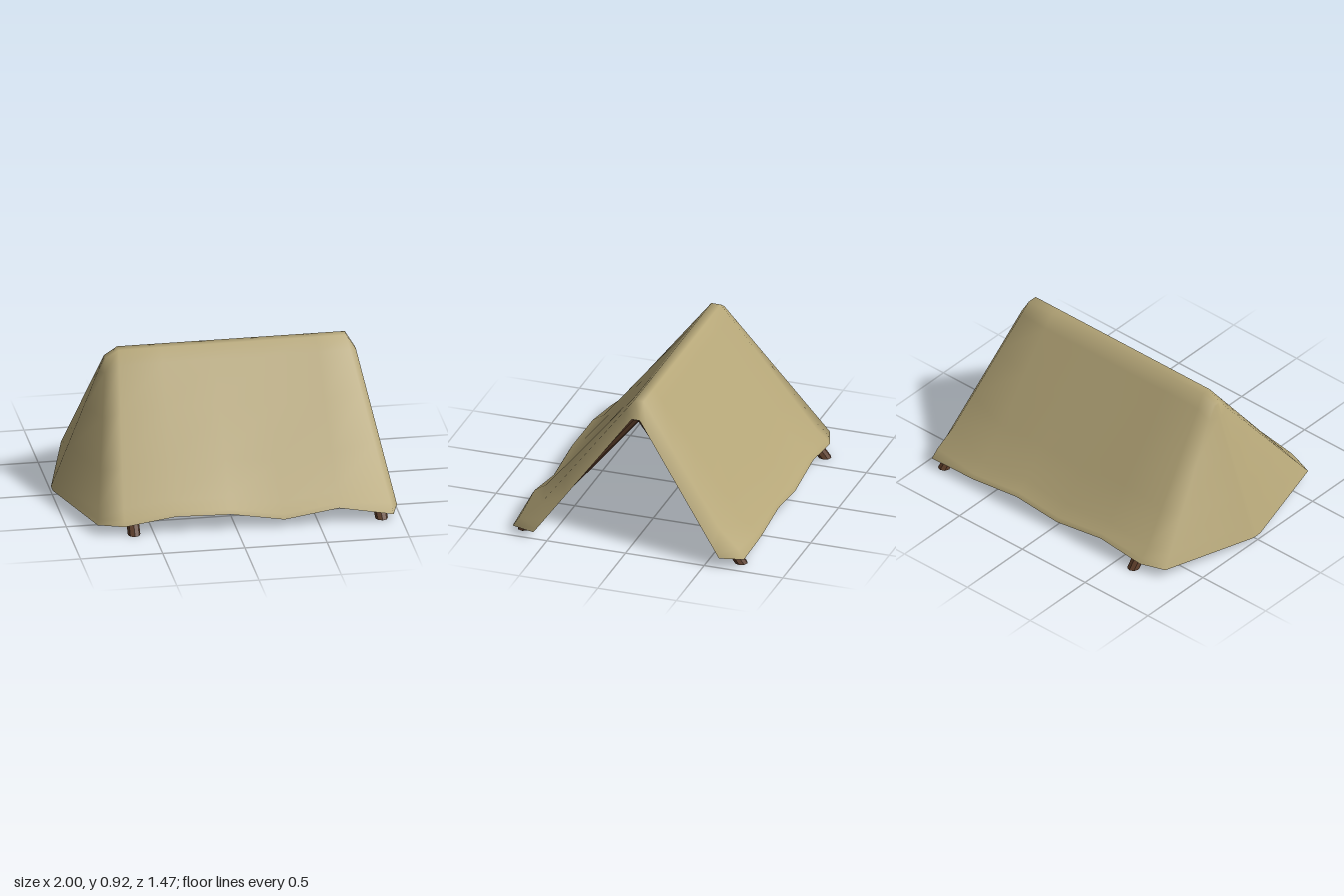
import * as THREE from 'three';
import { mergeVertices } from 'three/addons/utils/BufferGeometryUtils.js';

const canvas = new THREE.MeshStandardMaterial({ color: 0xb5a678, side: THREE.DoubleSide });
canvas.name = 'canvas';
const wood = new THREE.MeshStandardMaterial({ color: 0x5c3c28 });
wood.name = 'wood';

const MID = -0.01; // z of the ridge line
const lerp = THREE.MathUtils.lerp;

// Ribs of the sheet from the open end (+x) to the closed end (-x):
// ridge x, ridge y, ridge half width, hem x, hem z, hem y front, hem y back, knee position, knee pull-in
const RIBS = [
  [0.845, 0.82, 0.025, 0.995, 0.59, 0.04, 0.06, 0.9, 0],
  [0.785, 0.92, 0.03, 0.95, 0.735, 0.04, 0.055, 0.81, 0.035],
  [0.6, 0.92, 0.03, 0.62, 0.728, 0.1, 0.055, 0.91, 0.025],
  [0.28, 0.92, 0.03, 0.29, 0.722, 0.047, 0.09, 0.91, 0.025],
  [-0.03, 0.92, 0.03, -0.03, 0.716, 0.1, 0.055, 0.91, 0.025],
  [-0.34, 0.92, 0.03, -0.37, 0.71, 0.107, 0.1, 0.91, 0.025],
  [-0.6, 0.92, 0.03, -0.68, 0.705, 0.06, 0.06, 0.9, 0.015],
  [-0.68, 0.87, 0.025, -0.835, 0.65, 0.06, 0.06, 0.9, 0],
  [-0.685, 0.86, 0.01, -1, 0.035, 0.035, 0.035, 0.9, 0],
  [-0.685, 0.86, 0, -1, 0, 0.033, 0.033, 0.9, 0],
];

// One half of a rib, from ridge to hem
function halfRib([rx, ry, rw, hx, hz, hyF, hyB, knee, pull], side) {
  const hy = side > 0 ? hyF : hyB;
  const top = new THREE.Vector3(rx, ry, rw);
  const hem = new THREE.Vector3(hx, hy, hz);
  const bend = top.clone().lerp(hem, knee);
  bend.z -= pull;
  const shelf = bend.clone().lerp(hem, 0.65);
  shelf.z += pull * 0.6;
  const points = [top];
  for (const t of [0.1, 0.4, 0.75]) points.push(top.clone().lerp(bend, t));
  points.push(bend, shelf, hem);
  return points.map((p) => p.setZ(MID * (1 - Math.abs(p.z) / 0.75) + side * p.z));
}

function sheetGeometry() {
  const positions = [];
  const index = [];
  let n = 0;
  RIBS.forEach((rib, i) => {
    const section = [...halfRib(rib, 1).reverse(), ...halfRib(rib, -1)];
    n = section.length;
    section.forEach((p) => positions.push(p.x, p.y, p.z));
    if (i === RIBS.length - 1) return;
    for (let j = 0; j < n - 1; j++) {
      const a = i * n + j, b = a + n, c = a + 1, d = b + 1;
      index.push(a, c, b, b, c, d);
    }
  });
  const geometry = new THREE.BufferGeometry();
  geometry.setAttribute('position', new THREE.Float32BufferAttribute(positions, 3));
  geometry.setIndex(index);
  const welded = mergeVertices(geometry, 1e-4); // joins the seam at the closed end
  welded.computeVertexNormals();
  return welded;
}

// Leaning pole with ends cut level with the ground
function pole(name, foot, head) {
  const geometry = new THREE.CylinderGeometry(0.04, 0.04, 1, 8).toNonIndexed();
  const p = geometry.attributes.position;
  for (let i = 0; i < p.count; i++) {
    const t = p.getY(i) + 0.5;
    p.setXYZ(
      i,
      p.getX(i) * 0.95 + lerp(foot[0], head[0], t),
      lerp(foot[1], head[1], t),
      p.getZ(i) + lerp(foot[2], head[2], t)
    );
  }
  geometry.computeVertexNormals();
  const mesh = new THREE.Mesh(geometry, wood);
  mesh.name = name;
  return mesh;
}

export function createModel() {
  const tent = new THREE.Group();
  tent.name = 'tent';

  const sheet = new THREE.Mesh(sheetGeometry(), canvas);
  sheet.name = 'canvasSheet';
  tent.add(sheet);

  // Two A-frames hold up the ridge
  for (const [name, footX, headX] of [['openEndPole', 0.885, 0.795], ['closedEndPole', -0.62, -0.62]]) {
    tent.add(pole(name + 'Front', [footX, 0, 0.685], [headX, 0.82, 0]));
    tent.add(pole(name + 'Back', [footX, 0, -0.695], [headX, 0.825, -0.03]));
  }
  return tent;
}
